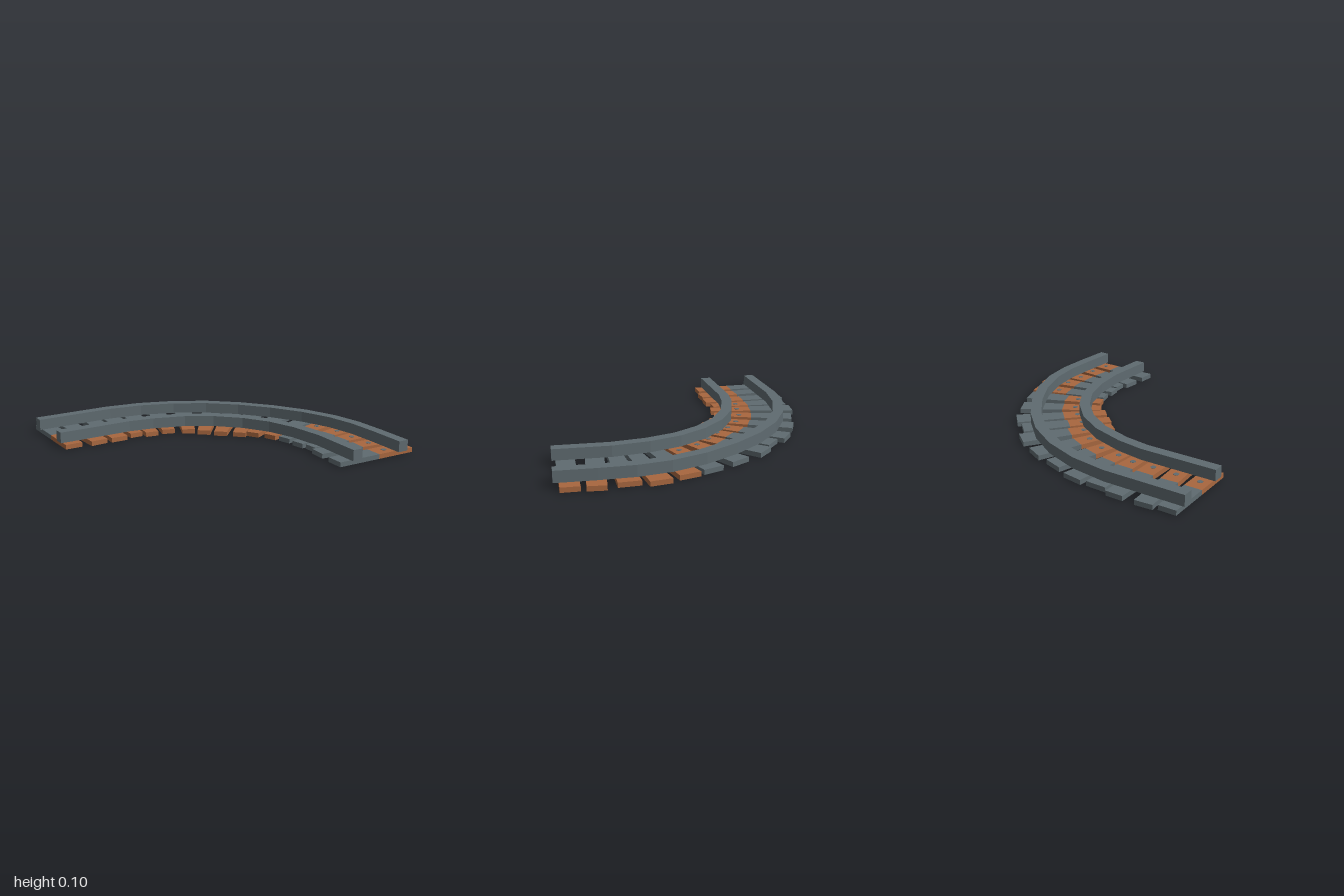
import * as THREE from 'three';

const SLEEPER_H = 0.032, RAIL_H = 0.072, RAIL_W = 0.071;

// Sleeper centre lines: outer x, z, inner x, z
const SLEEPERS = [
  [-0.93, -0.83, -0.893, -0.291], [-0.794, -0.861, -0.719, -0.283],
  [-0.604, -0.877, -0.575, -0.286], [-0.455, -0.855, -0.439, -0.316],
  [-0.283, -0.864, -0.337, -0.283], [-0.08, -0.805, -0.214, -0.283],
  [0.123, -0.754, -0.091, -0.219], [0.332, -0.652, -0.011, -0.144],
  [0.444, -0.524, 0.075, -0.064], [0.583, -0.439, 0.176, 0.016],
  [0.722, -0.246, 0.257, 0.059], [0.829, -0.059, 0.332, 0.16],
  [0.898, 0.091, 0.38, 0.262], [0.968, 0.267, 0.401, 0.39],
  [0.963, 0.444, 0.43, 0.492], [0.995, 0.628, 0.404, 0.604],
  [0.987, 0.773, 0.401, 0.789],
];

// Rail centre lines: x, z
const OUTER_RAIL = [
  [-0.997, -0.73], [-0.465, -0.765], [-0.225, -0.746], [0.016, -0.679],
  [0.235, -0.567], [0.428, -0.412], [0.594, -0.225], [0.733, -0.016],
  [0.824, 0.198], [0.866, 0.4], [0.877, 0.615], [0.88, 0.866],
];
const INNER_RAIL = [
  [-0.968, -0.374], [-0.465, -0.406], [-0.289, -0.39], [-0.064, -0.332],
  [0.118, -0.235], [0.278, -0.091], [0.396, 0.08], [0.471, 0.278],
  [0.513, 0.508], [0.519, 0.866],
];

// Extrudes a plan outline upwards from a given height
function slab(outline, y, height) {
  const shape = new THREE.Shape(outline.map((p) => new THREE.Vector2(p.x, -p.y)));
  const geo = new THREE.ExtrudeGeometry(shape, { depth: height, bevelEnabled: false });
  return geo.rotateX(-Math.PI / 2).translate(0, y, 0);
}

// Outline of a band of varying width with mitred corners
function band(points, widthAt) {
  const left = [], right = [];
  points.forEach((p, i) => {
    const prev = points[Math.max(i - 1, 0)], next = points[Math.min(i + 1, points.length - 1)];
    const a = p.clone().sub(prev).normalize(), b = next.clone().sub(p).normalize();
    const dir = a.clone().add(b).normalize();
    const miter = Math.max(dir.dot(a), dir.dot(b));
    const offset = new THREE.Vector2(-dir.y, dir.x).multiplyScalar(widthAt(i) / 2 / miter);
    left.push(p.clone().add(offset));
    right.push(p.clone().sub(offset));
  });
  return left.concat(right.reverse());
}

export function createModel() {
  const steel = new THREE.MeshStandardMaterial({ color: 0x5f6b70 });
  steel.name = 'slate grey';
  const wood = new THREE.MeshStandardMaterial({ color: 0xa8673f });
  wood.name = 'rust orange';

  const model = new THREE.Group();
  model.name = 'curvedTrack';
  const add = (parent, name, geo, material) => {
    const mesh = new THREE.Mesh(geo, material);
    mesh.name = name;
    parent.add(mesh);
    return mesh;
  };

  // Sleepers: one grey part, one orange part and a nail through the orange part
  SLEEPERS.forEach(([ox, oz, ix, iz], i) => {
    const sleeper = new THREE.Group();
    sleeper.name = 'sleeper';
    model.add(sleeper);
    const outer = new THREE.Vector2(ox, oz), inner = new THREE.Vector2(ix, iz);
    const tapered = i >= 3 && i <= 14;
    const wOuter = tapered ? 0.138 : 0.115, wInner = tapered ? 0.088 : 0.115;
    const orangeInside = i < 12;
    const split = orangeInside ? 0.52 : 0.47;
    const piece = (t0, t1) => slab(
      band([t0, t1].map((t) => outer.clone().lerp(inner, t)),
        (k) => THREE.MathUtils.lerp(wOuter, wInner, k ? t1 : t0)),
      0.001, SLEEPER_H - 0.001);
    add(sleeper, 'sleeperOuterHalf', piece(0, split), orangeInside ? steel : wood);
    add(sleeper, 'sleeperInnerHalf', piece(split, 1), orangeInside ? wood : steel);

    const at = outer.clone().lerp(inner, orangeInside ? 0.675 : 0.325);
    const nail = add(sleeper, 'nail', new THREE.CylinderGeometry(0.018, 0.018, SLEEPER_H + 0.002, 8), steel);
    nail.position.set(at.x, SLEEPER_H / 2 + 0.001, at.y);
  });

  // Rails
  for (const [name, path] of [['outerRail', OUTER_RAIL], ['innerRail', INNER_RAIL]]) {
    const points = path.map(([x, z]) => new THREE.Vector2(x, z));
    add(model, name, slab(band(points, () => RAIL_W), SLEEPER_H, RAIL_H), steel);
  }
  return model;
}
